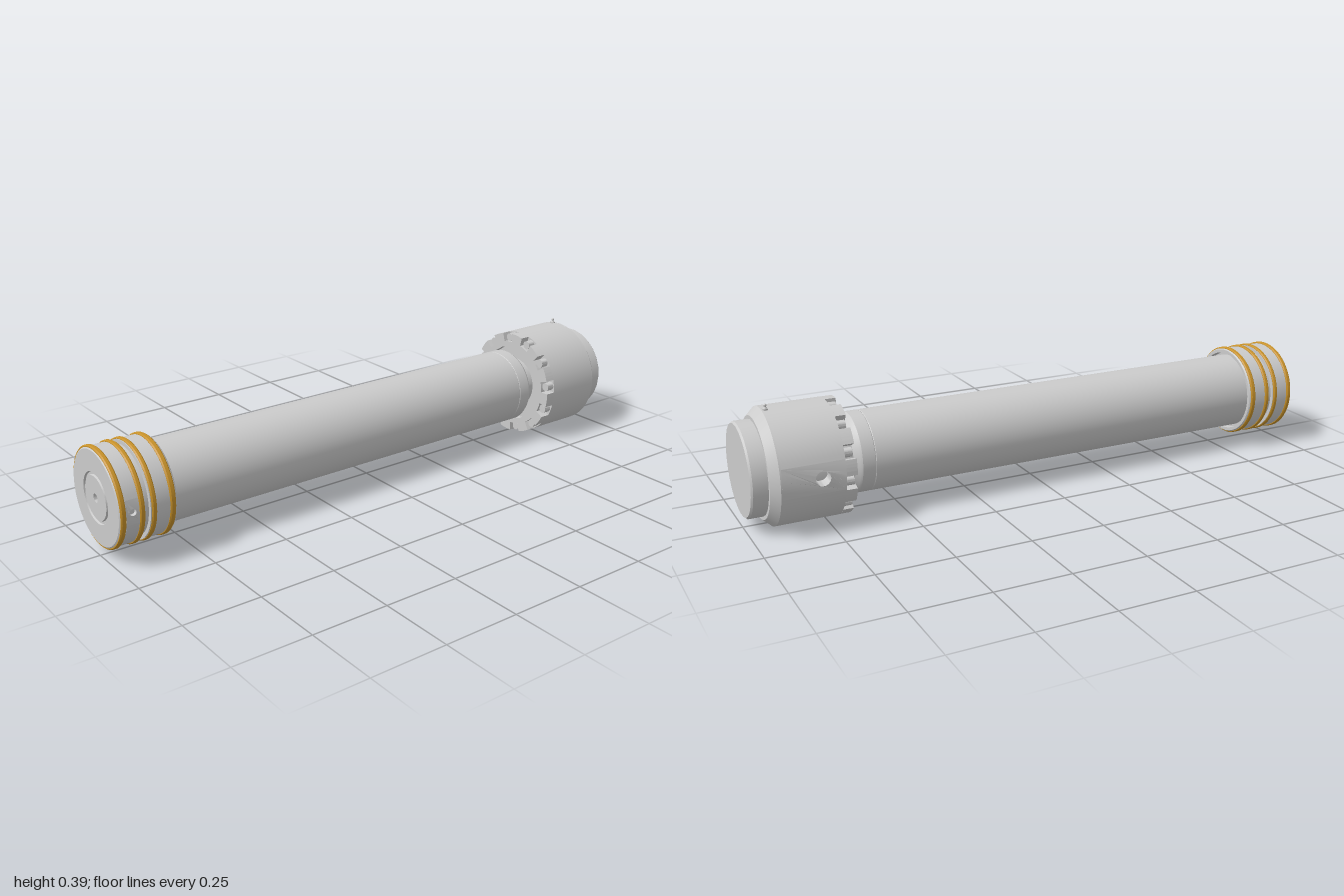
import * as THREE from 'three';
import { toCreasedNormals } from 'three/addons/utils/BufferGeometryUtils.js';

const GREY = 0xcccccc, GOLD = 0xc8922a;

function mesh(name, geometry, color = GREY) {
  const m = new THREE.Mesh(toCreasedNormals(geometry, 0.5), new THREE.MeshStandardMaterial({ color }));
  m.name = name;
  return m;
}

// Turned part along x; profile is [radius, x] from low x to high x
function turned(name, profile, color = GREY, segments = 64, start = 0, length = Math.PI * 2) {
  const pts = profile.map(([r, x]) => new THREE.Vector2(r, x));
  const geo = new THREE.LatheGeometry(pts, segments, start, length);
  return mesh(name, geo.rotateZ(-Math.PI / 2), color);
}

// Sleeve with one round hole facing -z: a lathe with a gap, closed by a bent, drilled patch
function drilledSleeve(name, R, depth, x0, x1, holeX, holeR) {
  const half = Math.PI / 12, n = 8;
  const group = new THREE.Group();
  group.name = name;
  group.add(turned(name + 'Wall',
    [[R - depth, x0], [R, x0], [R, x1], [R - depth, x1]],
    GREY, 60, Math.PI + half, 2 * Math.PI - 2 * half));
  const pts = [];
  for (let i = 0; i <= n; i++) pts.push(new THREE.Vector2(-half + 2 * half * i / n, x0));
  for (let i = n; i >= 0; i--) pts.push(new THREE.Vector2(-half + 2 * half * i / n, x1));
  const shape = new THREE.Shape(pts);
  const hole = new THREE.Path();
  hole.absellipse(0, holeX, holeR / R, holeR, 0, Math.PI * 2, true);
  shape.holes.push(hole);
  const geo = new THREE.ExtrudeGeometry(shape, { depth, bevelEnabled: false, curveSegments: 16 });
  const p = geo.attributes.position;
  for (let i = 0; i < p.count; i++) {
    const a = p.getX(i), r = R - depth + p.getZ(i);
    p.setXYZ(i, p.getY(i), r * Math.sin(a), -r * Math.cos(a));
  }
  group.add(mesh(name + 'Patch', geo));
  return group;
}

// Castellated ring: notches cut into the outer edge
function notchedRing(name, R, floor, inner, x0, x1, count, halfWidth, offset) {
  const shape = new THREE.Shape();
  const step = Math.PI * 2 / count;
  for (let i = 0; i < count; i++) {
    const a = offset + i * step;
    shape.absarc(0, 0, floor, a - halfWidth, a + halfWidth, false);
    shape.absarc(0, 0, R, a + halfWidth, a + step - halfWidth, false);
  }
  shape.closePath();
  const hole = new THREE.Path();
  hole.absarc(0, 0, inner, 0, Math.PI * 2, true);
  shape.holes.push(hole);
  const geo = new THREE.ExtrudeGeometry(shape, { depth: x1 - x0, bevelEnabled: false, curveSegments: 8 });
  return mesh(name, geo.rotateY(Math.PI / 2).translate(x0, 0, 0));
}

export function createModel() {
  const model = new THREE.Group();
  model.name = 'hydraulicRod';
  const axis = new THREE.Group();
  axis.name = 'rodAssembly';
  axis.position.y = 0.19;
  model.add(axis);

  // Rod with end band and tapered neck
  axis.add(turned('rod', [[0, -0.9], [0.131, -0.9], [0.131, 0.6]]));
  axis.add(turned('rodEndBand', [[0.131, 0.6], [0.1295, 0.602], [0.131, 0.604], [0.131, 0.645],
    [0.127, 0.652], [0.09, 0.682], [0.09, 0.72]]));

  // Piston: end face with a ring groove and centre hole, split by a deep groove, hollow skirt
  axis.add(turned('pistonCore', [
    [0, -0.985], [0.014, -0.985], [0.014, -0.998], [0.07, -0.998], [0.072, -0.992], [0.08, -0.992],
    [0.082, -0.998], [0.15, -0.998], [0.155, -0.994], [0.155, -0.976], [0.143, -0.976],
    [0.143, -0.93], [0.155, -0.93], [0.155, -0.916], [0.142, -0.916], [0.142, -0.899],
    [0.155, -0.899], [0.155, -0.816], [0.152, -0.812], [0.141, -0.812], [0.139, -0.83], [0.128, -0.83]]));
  const pistonSleeve = drilledSleeve('pistonSleeve', 0.155, 0.012, -0.976, -0.93, -0.955, 0.011);
  pistonSleeve.rotation.x = Math.PI;
  axis.add(pistonSleeve);

  // Seal rings
  [[-0.995, -0.978], [-0.934, -0.918], [-0.896, -0.88], [-0.836, -0.818]].forEach(([a, b], i) => {
    axis.add(turned('sealRing' + (i + 1),
      [[0.15, a], [0.157, a], [0.16, a + 0.004], [0.16, b - 0.004], [0.157, b], [0.15, b]], GOLD));
  });

  // Head nut: notched rim, drilled wall and chamfered shoulder
  axis.add(notchedRing('headRim', 0.188, 0.157, 0.138, 0.682, 0.717, 12, 0.125, 21 * Math.PI / 180));
  axis.add(drilledSleeve('headWall', 0.188, 0.038, 0.717, 0.915, 0.79, 0.024));
  axis.add(turned('headShoulder', [[0.188, 0.915], [0.188, 0.92], [0.163, 0.947], [0.145, 0.947]]));

  // Screws sitting in the notches
  for (let i = 0; i < 12; i++) {
    const a = (21 + i * 30) * Math.PI / 180;
    const screw = mesh('rimScrew', new THREE.CylinderGeometry(0.015, 0.015, 0.027, 14).rotateZ(Math.PI / 2));
    screw.position.set(0.704, 0.17 * Math.sin(a), -0.17 * Math.cos(a));
    axis.add(screw);
  }

  // End cap, running through the head as its core
  axis.add(turned('endCap', [[0, 0.705], [0.15, 0.705], [0.152, 0.94], [0.152, 0.994], [0.147, 1], [0, 1]],
    GREY, 26));

  // Grease fitting on top of the head
  const fitting = new THREE.Group();
  fitting.name = 'greaseFitting';
  fitting.position.set(0.908, 0.185, -0.02);
  [[0.009, 0.009, 0.008, 0.002], [0.004, 0.007, 0.006, 0.008], [0.003, 0.003, 0.008, 0.012]]
    .forEach(([top, bottom, h, y]) => {
      fitting.add(mesh('fittingBody', new THREE.CylinderGeometry(top, bottom, h, 12).translate(0, y, 0)));
    });
  fitting.add(mesh('fittingBall', new THREE.SphereGeometry(0.005, 12, 8).translate(0, 0.016, 0)));
  axis.add(fitting);

  return model;
}
